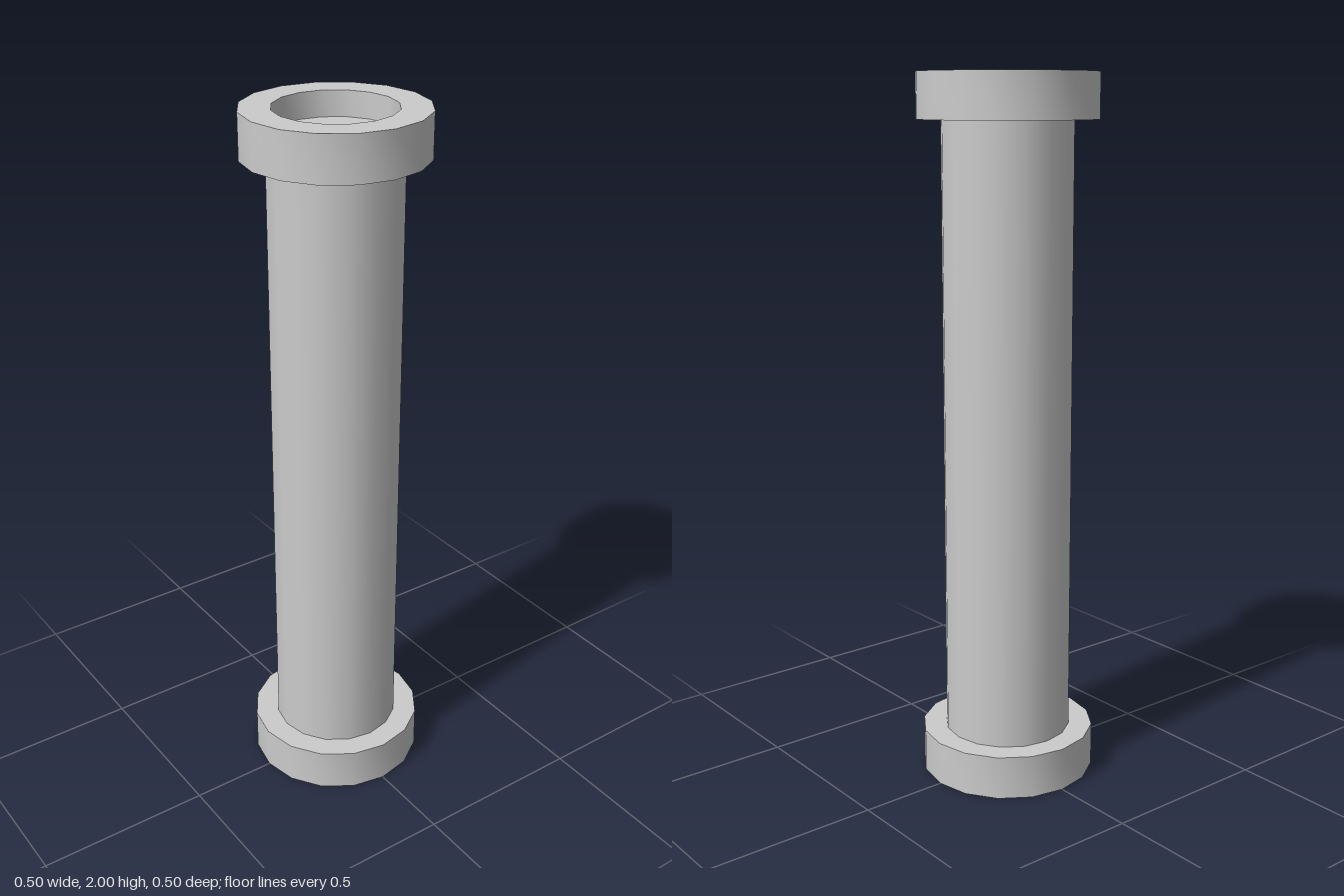
import * as THREE from 'three';
import { toCreasedNormals } from 'three/addons/utils/BufferGeometryUtils.js';

const SIDES = 16;
const HEIGHT = 2;
const COLLAR = { inner: 0.165, outer: 0.25, height: 0.125 };
const SHAFT = { radius: 0.182, recess: 0.07 };

export function createModel() {
  const model = new THREE.Group();
  const material = new THREE.MeshStandardMaterial({ color: 0xcccccc });

  const add = (name, geometry, y) => {
    const mesh = new THREE.Mesh(geometry, material);
    mesh.name = name;
    mesh.position.y = y;
    model.add(mesh);
  };

  // Capped shaft, its ends sunk inside the collars
  const length = HEIGHT - 2 * SHAFT.recess;
  add('shaft', new THREE.CylinderGeometry(SHAFT.radius, SHAFT.radius, length, SIDES), HEIGHT / 2);

  // Ring collar with a square cross-section, sharp at the rims and smooth around
  const { inner, outer, height } = COLLAR;
  const profile = [[inner, 0], [outer, 0], [outer, height], [inner, height], [inner, 0]]
    .map(([x, y]) => new THREE.Vector2(x, y));
  const collar = toCreasedNormals(new THREE.LatheGeometry(profile, SIDES), 0.7);
  add('bottomCollar', collar, 0);
  add('topCollar', collar, HEIGHT - height);

  return model;
}
